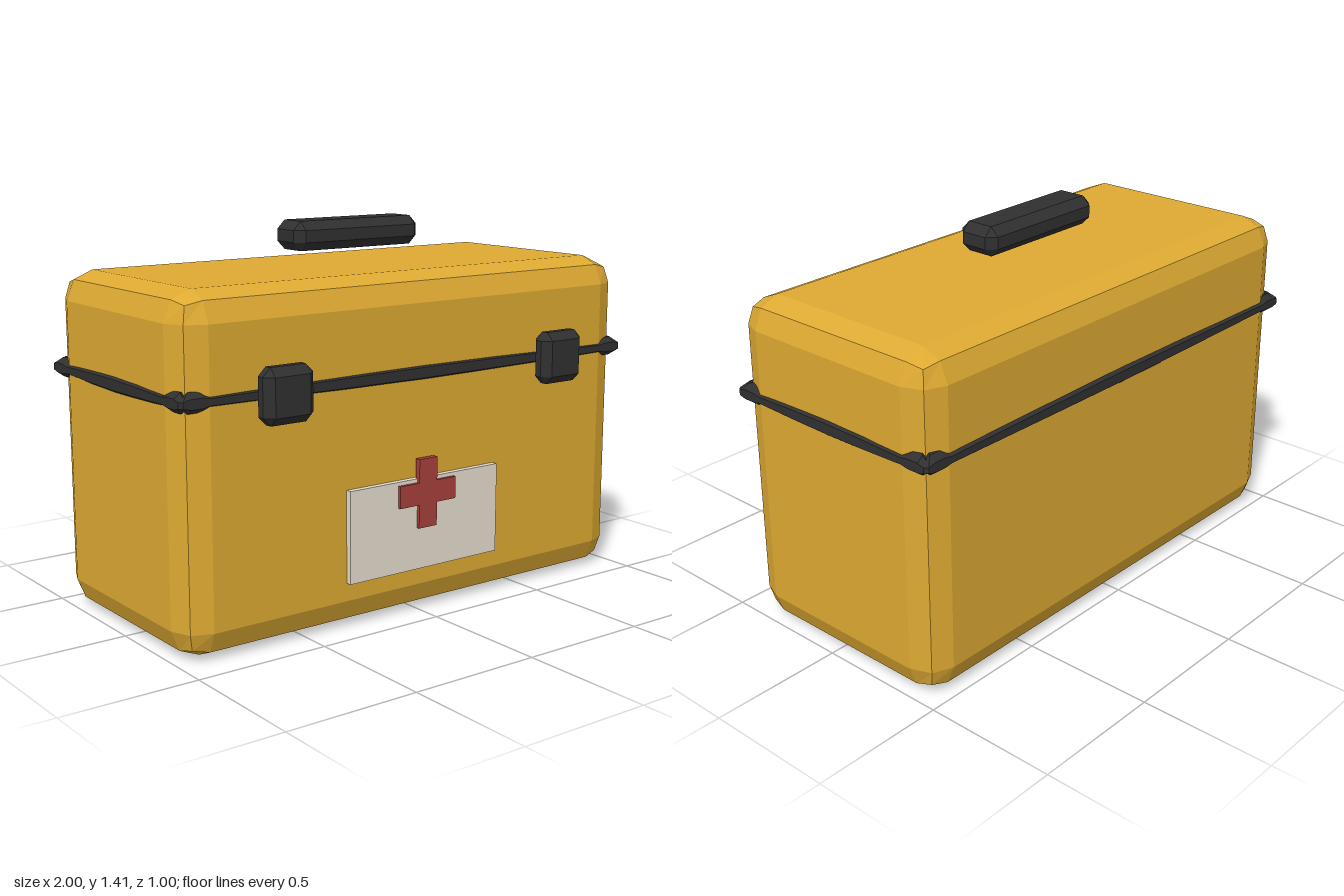
import * as THREE from 'three';
import { RoundedBoxGeometry } from 'three/addons/geometries/RoundedBoxGeometry.js';
import { ConvexGeometry } from 'three/addons/geometries/ConvexGeometry.js';

const material = (name, color, extra = {}) => {
  const m = new THREE.MeshStandardMaterial({ color, flatShading: true, ...extra });
  m.name = name;
  return m;
};

// Box with one flat chamfer on every edge
function chamferBox(w, h, d, c) {
  const points = [];
  for (const x of [-w / 2, w / 2]) for (const y of [-h / 2, h / 2]) for (const z of [-d / 2, d / 2]) {
    const ix = x - Math.sign(x) * c, iy = y - Math.sign(y) * c, iz = z - Math.sign(z) * c;
    points.push(new THREE.Vector3(x, iy, iz), new THREE.Vector3(ix, y, iz), new THREE.Vector3(ix, iy, z));
  }
  return new ConvexGeometry(points);
}

// Seal band: sections swept round a rectangle, swelling at corners and mid-sides
function bandGeometry(X, Z) {
  const profile = [[0.012, 0.022], [0.04, 0.035], [0.085, 0.035], [0.115, 0.024]]; // distance from corner, half height
  const side = (half) => [
    ...profile.map(([t, h]) => [-half + t, h]),
    [-half * 0.35, 0.034], [0, 0.038], [half * 0.35, 0.034],
    ...profile.map(([t, h]) => [half - t, h]).reverse(),
  ];
  const stations = [
    ...side(X).map(([t, h]) => [t, Z, h]),
    ...side(Z).map(([t, h]) => [X, -t, h]),
    ...side(X).map(([t, h]) => [-t, -Z, h]),
    ...side(Z).map(([t, h]) => [-X, t, h]),
  ];
  const section = [[0.1, -1], [0.025, -1], [0, -0.5], [0, 0.5], [0.025, 1], [0.1, 1]]; // inset, height factor
  const pos = [], index = [], n = section.length, clamp = THREE.MathUtils.clamp;
  for (const [x, z, h] of stations) for (const [inset, f] of section) {
    pos.push(clamp(x, inset - X, X - inset), h * f, clamp(z, inset - Z, Z - inset));
  }
  for (let i = 0; i < stations.length; i++) for (let j = 0; j < n - 1; j++) {
    const a = i * n + j, b = ((i + 1) % stations.length) * n + j;
    index.push(a, b, b + 1, a, b + 1, a + 1);
  }
  const g = new THREE.BufferGeometry();
  g.setAttribute('position', new THREE.Float32BufferAttribute(pos, 3));
  g.setIndex(index);
  g.computeVertexNormals();
  return g;
}

// Plus-shaped plate
function crossGeometry(reach, half, depth) {
  const s = new THREE.Shape();
  const corners = [[half, reach], [half, half], [reach, half]];
  const pts = [];
  for (let q = 0; q < 4; q++) {
    const c = Math.round(Math.cos(q * Math.PI / 2)), n = Math.round(Math.sin(q * Math.PI / 2));
    for (const [x, y] of [...corners].reverse()) pts.push(new THREE.Vector2(x * c - y * n, x * n + y * c));
  }
  s.setFromPoints(pts);
  return new THREE.ExtrudeGeometry(s, { depth, bevelEnabled: false });
}

export function createModel() {
  const group = new THREE.Group();
  const yellow = material('yellow case', 0xdda932);
  const black = material('black rubber', 0x303030);
  const bandBlack = material('black seal', 0x303030, { side: THREE.DoubleSide });
  const cream = material('cream label', 0xe6dece);
  const red = material('red cross', 0xa8403c);

  const add = (name, geometry, mat, x, y, z) => {
    const mesh = new THREE.Mesh(geometry, mat);
    mesh.name = name;
    mesh.position.set(x, y, z);
    group.add(mesh);
  };

  // Case with softly bevelled edges
  add('caseBody', new RoundedBoxGeometry(1.98, 1.245, 0.9, 1, 0.105), yellow, 0, 0.6225, -0.0375);
  // Lid seal
  add('lidSeal', bandGeometry(1, 0.46), bandBlack, 0, 0.89, -0.04);
  // Grip hovering above the lid
  add('handleGrip', chamferBox(0.565, 0.108, 0.168, 0.032), black, 0, 1.358, -0.0375);
  // Front clasps
  for (const s of [-1, 1]) {
    add(s > 0 ? 'leftClasp' : 'rightClasp', chamferBox(0.2, 0.196, 0.088, 0.03), black, s * 0.62, 0.891, 0.456);
  }
  // Label and cross
  add('labelPlate', new THREE.BoxGeometry(0.68, 0.338, 0.03), cream, 0, 0.341, 0.42);
  add('cross', crossGeometry(0.128, 0.041, 0.022), red, 0, 0.455, 0.425);

  return group;
}
